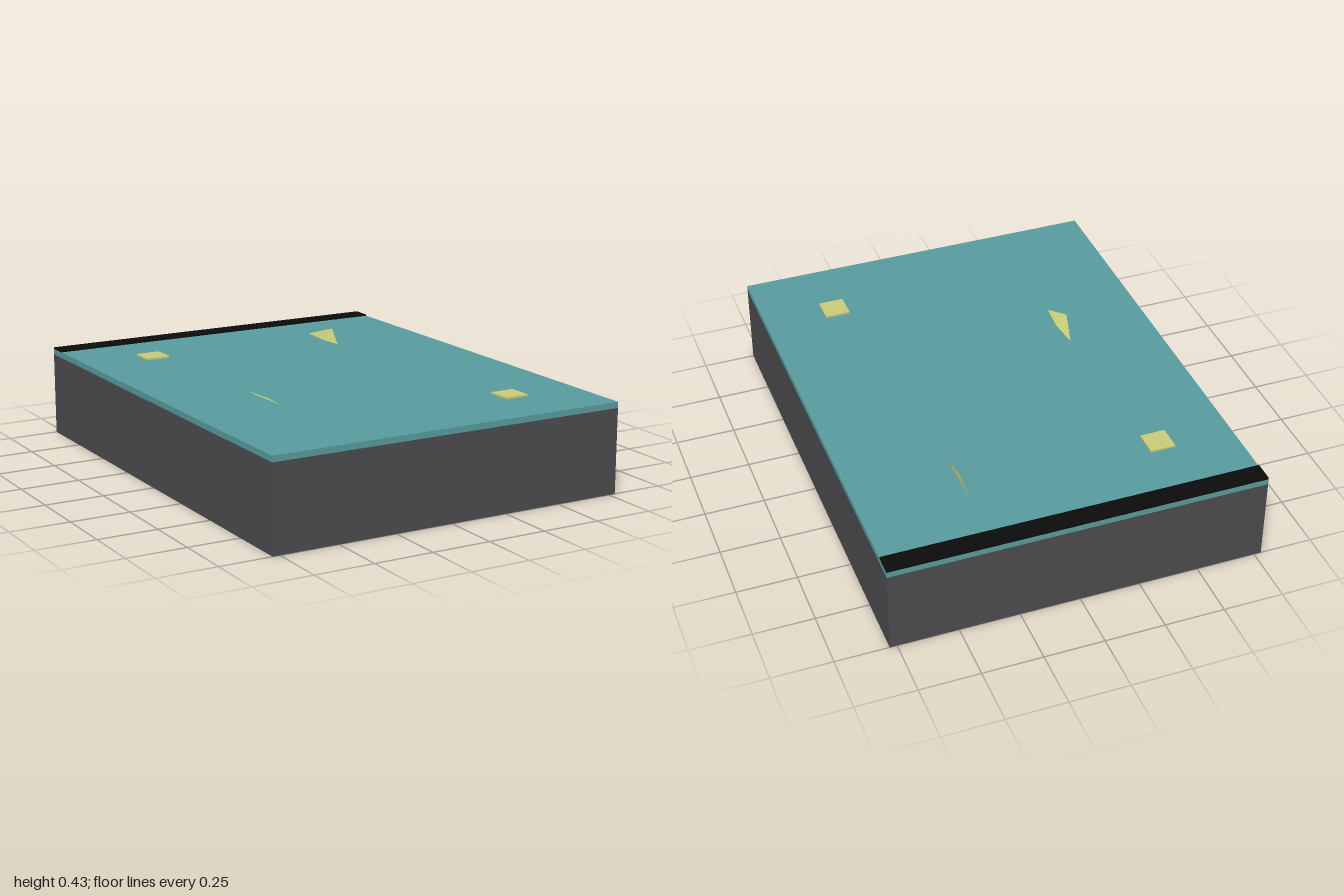
import * as THREE from 'three';
import { ConvexGeometry } from 'three/addons/geometries/ConvexGeometry.js';

function material(name, color) {
  const m = new THREE.MeshStandardMaterial({ color });
  m.name = name;
  return m;
}

export function createModel() {
  const model = new THREE.Group();
  model.name = 'groundBlock';
  const charcoal = material('charcoal', 0x4b4a4e);
  const teal = material('teal', 0x579a9d);
  const black = material('black', 0x0b0b0b);
  const yellow = material('paleYellow', 0xc8cb76);

  const add = (name, geometry, mat) => {
    const mesh = new THREE.Mesh(geometry, mat);
    mesh.name = name;
    model.add(mesh);
    return mesh;
  };
  // Box given by its centre in plan, its bottom and its size
  const slab = (name, mat, x, z, bottom, w, h, d) =>
    add(name, new THREE.BoxGeometry(w, h, d), mat).position.set(x, bottom + h / 2, z);

  // Body, surface layer and back strip
  const top = 0.38;
  slab('base', charcoal, 0, 0, 0, 1.56, 0.355, 2);
  slab('surfaceLayer', teal, 0, 0, 0.355, 1.56, 0.025, 2);
  slab('backStrip', black, 0, -0.957, top, 1.56, 0.006, 0.086);

  // Small square tiles
  slab('rearTile', yellow, -0.47, -0.638, top, 0.105, 0.008, 0.105);
  slab('frontTile', yellow, 0.47, 0.696, top, 0.105, 0.008, 0.105);

  // Leaning shards: three points on the surface and a raised tip
  const shard = (name, base, tip) => {
    const points = base.map(([x, z]) => new THREE.Vector3(x, top, z));
    points.push(new THREE.Vector3(...tip));
    add(name, new ConvexGeometry(points), yellow);
  };
  shard('rearShard', [[0.348, -0.71], [0.348, -0.45], [0.337, -0.55]], [0.372, 0.432, -0.54]);
  shard('frontShard', [[-0.403, 0.12], [-0.398, 0.37], [-0.388, 0.25]], [-0.448, 0.402, 0.28]);

  return model;
}
